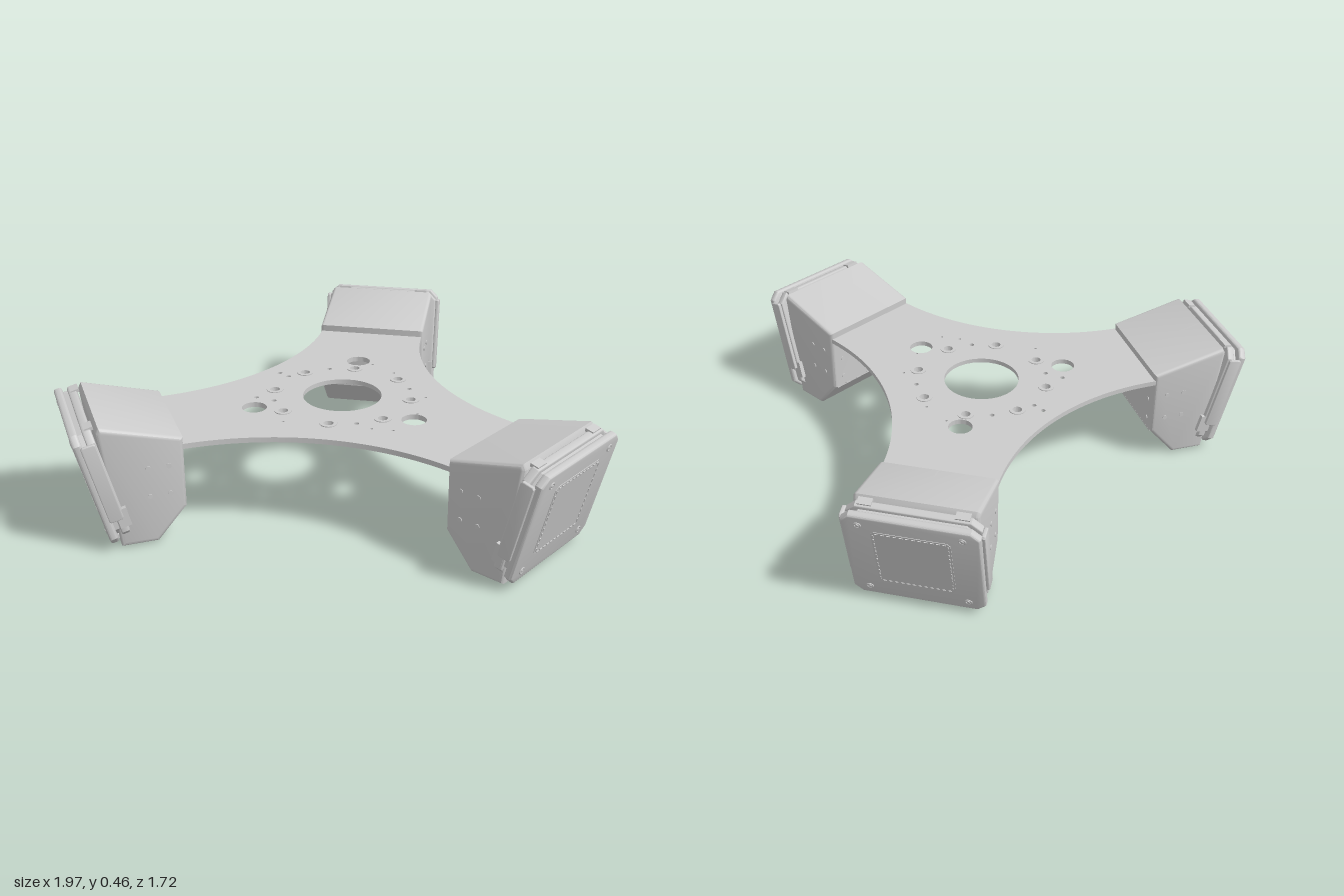
import * as THREE from 'three';
import { toCreasedNormals } from 'three/addons/utils/BufferGeometryUtils.js';

const grey = new THREE.MeshStandardMaterial({ color: 0xcccccc });
const HUB_Z = 0.15;
const ARMS = [Math.PI, Math.PI / 3, -Math.PI / 3];

function add(parent, name, geometry, x = 0, y = 0, z = 0) {
  const mesh = new THREE.Mesh(geometry, grey);
  mesh.name = name;
  mesh.position.set(x, y, z);
  parent.add(mesh);
  return mesh;
}
const box = (w, h, d) => new THREE.BoxGeometry(w, h, d);

function extrude(shape, depth, bevel = 0, grow = 0) {
  const g = new THREE.ExtrudeGeometry(shape, {
    depth: depth - 2 * bevel, curveSegments: 20, bevelEnabled: bevel > 0,
    bevelSize: bevel, bevelThickness: bevel, bevelOffset: grow - bevel, bevelSegments: 3,
  });
  g.translate(0, 0, bevel);
  return toCreasedNormals(g, 0.6);
}

// Horizontal slab whose shape is drawn as (x, z), from height y0 to y1
function slab(shape, y0, y1) {
  const g = extrude(shape, y1 - y0);
  g.rotateX(Math.PI / 2);
  g.translate(0, y1, 0);
  return g;
}

function hole(x, y, r) {
  const p = new THREE.Path();
  p.absarc(x, y, r, 0, Math.PI * 2, true);
  return p;
}

// Three-armed outline with concave arcs between the arms
function plateOutline(inset, reach) {
  const points = [];
  for (let k = 0; k < 3; k++) {
    const turn = (k * Math.PI * 2) / 3;
    const put = (x, z) => points.push(new THREE.Vector2(
      x * Math.cos(turn) - z * Math.sin(turn), x * Math.sin(turn) + z * Math.cos(turn)));
    const w = 0.213 - inset, s = Math.sqrt(3) / 2;
    put(reach * s - w / 2, reach / 2 + w * s);
    for (let i = 0; i <= 24; i++) {
      const a = Math.PI / 6 - (i / 24) * Math.PI / 3, R = 0.894 + inset;
      put(R * Math.sin(a), 1.274 - R * Math.cos(a));
    }
    put(-reach * s + w / 2, reach / 2 + w * s);
  }
  return points;
}

// Rectangle with cut corners
function cutRect(w, h, c, Type = THREE.Shape) {
  const x = w / 2, y = h / 2;
  return new Type([[x - c, -y], [x, c - y], [x, y - c], [x - c, y], [c - x, y], [-x, y - c], [-x, c - y], [c - x, -y]]
    .map(([a, b]) => new THREE.Vector2(a, b)));
}

function buildPlate() {
  const plate = new THREE.Group();
  plate.name = 'centrePlate';
  const ring = [...Array(8)].map((_, i) => [0.255 * Math.sin(i * Math.PI / 4), 0.255 * Math.cos(i * Math.PI / 4)]);
  const big = ARMS.map(a => [0.335 * Math.sin(a), 0.335 * Math.cos(a)]);
  const small = [[0.235, -0.1], [-0.096, -0.235], [-0.235, -0.134], [-0.275, -0.16], [-0.235, 0.096], [-0.305, 0.08],
    [0.096, 0.235], [0.155, 0.267], [0.23, 0.267], [0.294, 0.117], [0.305, -0.032], [-0.16, 0.267], [0.06, -0.31], [0.155, -0.24]];

  const skin = new THREE.Shape(plateOutline(0, 0.75));
  skin.holes.push(hole(0, 0, 0.145));
  ring.forEach(([x, z]) => skin.holes.push(hole(x, z, 0.026)));
  big.forEach(([x, z]) => skin.holes.push(hole(x, z, 0.045)));
  small.forEach(([x, z], i) => skin.holes.push(hole(x, z, i < 7 ? 0.009 : 0.005)));
  add(plate, 'plateSkin', slab(skin, 0.35, 0.36));

  // Downturned edge, hub reinforcement and ribs underneath
  const rim = new THREE.Shape(plateOutline(0, 0.7));
  rim.holes.push(new THREE.Path(plateOutline(0.012, 0.69)));
  add(plate, 'plateRim', slab(rim, 0.341, 0.35));
  const disc = new THREE.Shape();
  disc.absarc(0, 0, 0.31, 0, Math.PI * 2, false);
  disc.holes.push(hole(0, 0, 0.145));
  ring.forEach(([x, z]) => disc.holes.push(hole(x, z, 0.026)));
  small.forEach(([x, z], i) => { if (Math.hypot(x, z) < 0.285) disc.holes.push(hole(x, z, i < 7 ? 0.009 : 0.005)); });
  big.forEach(([x, z]) => {
    // Open the disc edge around each cable hole by keeping the disc inside it
    const collar = new THREE.Shape();
    collar.absarc(x, z, 0.058, 0, Math.PI * 2, false);
    collar.holes.push(hole(x, z, 0.045));
    add(plate, 'cableHoleCollar', slab(collar, 0.341, 0.35));
  });
  disc.curves.length = 0;
  disc.absarc(0, 0, 0.288, 0, Math.PI * 2, false);
  add(plate, 'hubDisc', slab(disc, 0.343, 0.35));

  ring.forEach(([x, z]) => {
    const g = new THREE.LatheGeometry([[0.015, 0.34], [0.031, 0.34], [0.031, 0.363], [0.018, 0.363], [0.015, 0.34]]
      .map(p => new THREE.Vector2(...p)), 20);
    add(plate, 'grommet', toCreasedNormals(g, 0.6), x, 0, z);
  });
  for (const a of ARMS) {
    const ribs = new THREE.Group();
    ribs.name = 'armRibs';
    ribs.rotation.y = a;
    plate.add(ribs);
    for (const s of [-1, 1]) {
      add(ribs, 'longRib', box(0.01, 0.01, 0.26), s * 0.035, 0.346, 0.51);
      add(ribs, 'splayedRib', box(0.01, 0.01, 0.24), s * 0.17, 0.346, 0.36).rotation.y = s * 0.2;
    }
  }
  return plate;
}

function housingGeometry(width, bevel, grow) {
  const side = new THREE.Shape([[0.64, 0.385], [0.64, 0.125], [0.745, 0.005], [0.873, 0.005], [0.928, 0.44], [0.918, 0.46]]
    .map(p => new THREE.Vector2(...p)));
  const g = extrude(side, width, bevel, grow);
  g.translate(0, 0, -width / 2);
  g.rotateY(-Math.PI / 2);
  return g;
}

// Outer cover, built flat in its own tilted frame with the face at z = 0
function buildCover() {
  const cover = new THREE.Group();
  cover.name = 'outerCover';
  cover.position.set(0, 0.231, 0.962);
  cover.rotation.x = 0.248;
  const plate = extrude(cutRect(0.47, 0.435, 0.03), 0.03, 0.008);
  add(cover, 'coverPlate', plate, 0, 0, -0.03);
  const gasket = cutRect(0.435, 0.4, 0.035);
  gasket.holes.push(cutRect(0.36, 0.33, 0.03, THREE.Path));
  add(cover, 'gasketFrame', extrude(gasket, 0.016), 0, 0, -0.046);
  const back = cutRect(0.462, 0.425, 0.035);
  back.holes.push(cutRect(0.38, 0.35, 0.03, THREE.Path));
  add(cover, 'backFrame', extrude(back, 0.03, 0.006), 0, 0, -0.076);

  // Raised face panel edged with a dashed line
  add(cover, 'facePanel', extrude(cutRect(0.27, 0.28, 0.012), 0.003), 0, 0.01, -0.001);
  for (const s of [-1, 1]) {
    for (let i = 0; i < 12; i++) {
      const t = (i - 5.5) / 12;
      add(cover, 'faceDash', box(0.012, 0.004, 0.004), t * 0.25, 0.01 + s * 0.132, 0.003);
      add(cover, 'faceDash', box(0.004, 0.012, 0.004), s * 0.127, 0.01 + t * 0.26, 0.003);
    }
    // Side rails and clips
    add(cover, 'sideRail', extrude(cutRect(0.05, 0.3, 0.006), 0.014, 0.003).rotateY(Math.PI / 2),
      s * 0.239 - 0.007, 0.03, -0.047);
    add(cover, 'lowerClip', box(0.02, 0.07, 0.04), s * 0.222, -0.125, -0.07);
    add(cover, 'topClip', box(0.05, 0.012, 0.03), s * 0.165, 0.211, -0.07);
    add(cover, 'bottomLatch', box(0.06, 0.02, 0.05), s * 0.14, -0.212, -0.055);
    add(cover, 'latchPin', new THREE.CylinderGeometry(0.008, 0.008, 0.08, 12).rotateZ(Math.PI / 2), s * 0.14, -0.215, -0.03);
    for (const t of [-1, 1]) {
      const washer = new THREE.TorusGeometry(0.011, 0.003, 8, 20);
      add(cover, 'coverScrewRing', washer, s * 0.175, t * 0.175, 0);
      add(cover, 'coverScrew', new THREE.CylinderGeometry(0.006, 0.006, 0.006, 6).rotateX(Math.PI / 2), s * 0.175, t * 0.175, 0.001);
    }
  }
  return cover;
}

function buildArmPod() {
  const pod = new THREE.Group();
  pod.name = 'armPod';
  add(pod, 'housing', housingGeometry(0.43, 0.014, 0));
  add(pod, 'centreSeam', housingGeometry(0.006, 0, 0.002));
  add(pod, 'innerTab', box(0.036, 0.06, 0.012), 0, 0.312, 0.636);
  add(pod, 'foldLine', box(0.4, 0.005, 0.008), 0, 0.122, 0.644);
  for (const s of [-1, 1]) {
    for (const y of [0.185, 0.29]) {
      for (const z of [0.695, 0.765]) {
        add(pod, 'sideScrew', new THREE.CylinderGeometry(0.009, 0.009, 0.006, 16).rotateZ(Math.PI / 2), s * 0.215, y, z);
      }
    }
    for (const y of [0.165, 0.25]) {
      add(pod, 'innerScrew', new THREE.CylinderGeometry(0.009, 0.009, 0.006, 16).rotateX(Math.PI / 2), s * 0.165, y, 0.64);
    }
    add(pod, 'foot', box(0.05, 0.014, 0.04), s * 0.09, 0.007, 0.85);
  }
  pod.add(buildCover());
  return pod;
}

export function createModel() {
  const model = new THREE.Group();
  model.name = 'threeArmFrame';
  const body = new THREE.Group();
  body.name = 'frameBody';
  body.position.z = HUB_Z;
  model.add(body);
  body.add(buildPlate());
  for (const a of ARMS) {
    const pod = buildArmPod();
    pod.rotation.y = a;
    body.add(pod);
  }
  return model;
}
